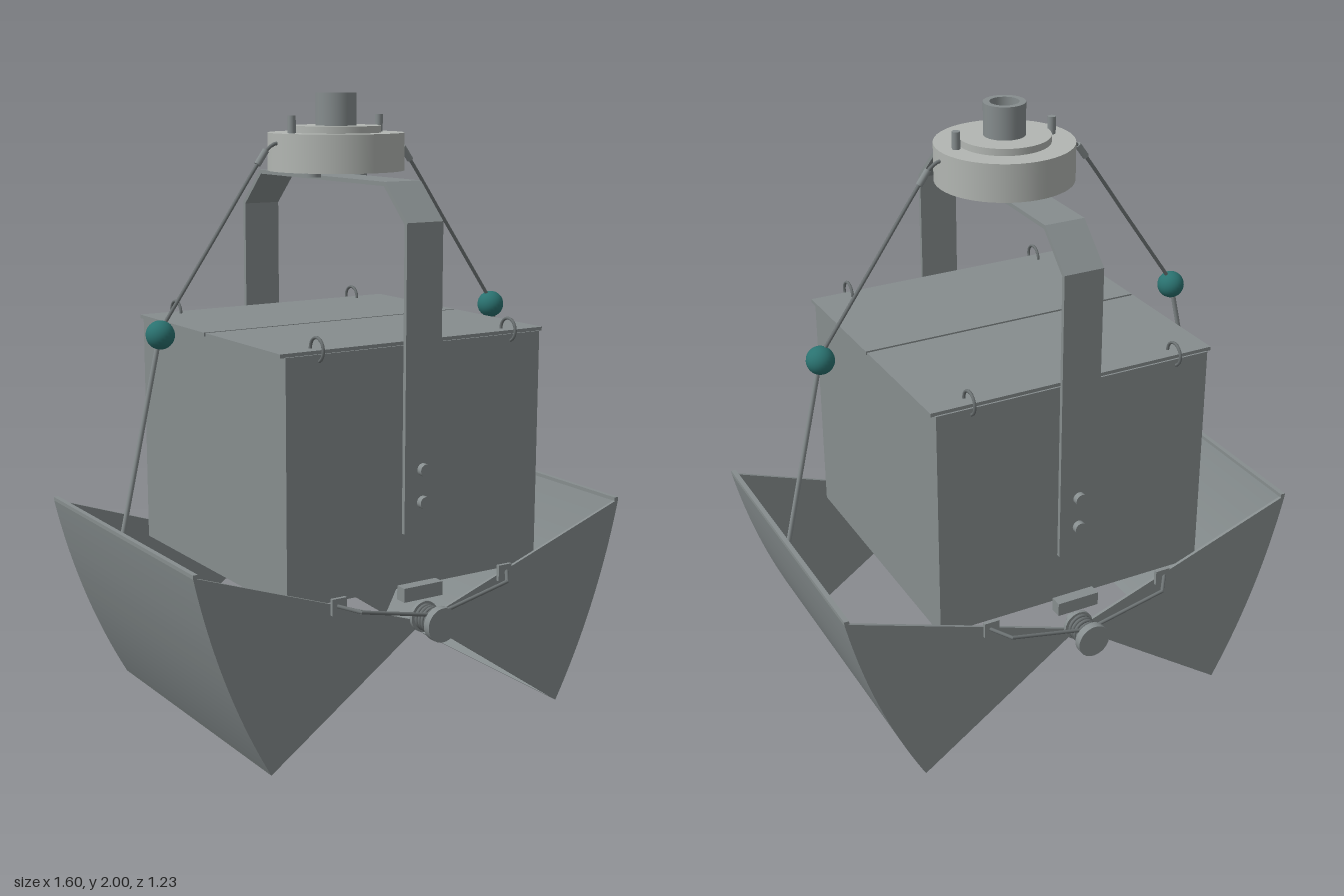
import * as THREE from 'three';

const mat = (name, color, side = THREE.FrontSide) => {
  const m = new THREE.MeshStandardMaterial({ color, side });
  m.name = name;
  return m;
};

export function createModel() {
  const steel = mat('grey steel', 0x868d8e);
  const wire = mat('dark wire', 0x6c7273);
  const light = mat('light metal', 0xb2b6b2);
  const teal = mat('teal ball', 0x2a7270);
  const model = new THREE.Group();
  model.name = 'grabSampler';

  const add = (parent, name, geo, material, x = 0, y = 0, z = 0) => {
    const mesh = new THREE.Mesh(geo, material);
    mesh.name = name;
    mesh.position.set(x, y, z);
    parent.add(mesh);
    return mesh;
  };
  const box = (w, h, d) => new THREE.BoxGeometry(w, h, d);
  const cyl = (r, h, n = 24) => new THREE.CylinderGeometry(r, r, h, n);
  const cylZ = (r, h, n = 24) => cyl(r, h, n).rotateX(Math.PI / 2);
  const extrude = (shape, depth) => new THREE.ExtrudeGeometry(shape, { depth, bevelEnabled: false, curveSegments: 24 })
    .translate(0, 0, -depth / 2);
  const poly = pts => new THREE.Shape(pts.map(p => new THREE.Vector2(...p)));
  const up = new THREE.Vector3(0, 1, 0);
  // round bars joining a list of points
  const bars = (parent, name, pts, r, material) => {
    for (let i = 1; i < pts.length; i++) {
      const a = new THREE.Vector3(...pts[i - 1]), b = new THREE.Vector3(...pts[i]);
      const dir = b.clone().sub(a);
      const bar = add(parent, name, cyl(r, dir.length() + r * 0.8, 10), material);
      bar.position.copy(a).add(b).multiplyScalar(0.5);
      bar.quaternion.setFromUnitVectors(up, dir.normalize());
    }
  };

  // sample box, open below
  const H = 0.47, T = 0.46;
  const walls = poly([[-H, -H], [H, -H], [H, H], [-H, H]]);
  walls.holes.push(poly([[-T, -T], [-T, T], [T, T], [T, -T]]));
  add(model, 'sampleBox', extrude(walls, 0.765).rotateX(Math.PI / 2), steel, 0, 0.8725);

  // two lid flaps with ring handles
  for (const s of [-1, 1]) {
    add(model, 'lidFlap', box(0.97, 0.012, 0.459), steel, 0, 1.26, s * 0.2345);
    for (const x of [-0.355, 0.355])
      add(model, 'lidRing', new THREE.TorusGeometry(0.036, 0.005, 8, 28).rotateY(Math.PI / 2), wire, x, 1.267, s * 0.455);
  }

  // bent strap frame over the box
  const t = 0.49, u = 0.483;
  const strap = poly([[t + 0.007, 0.67], [t + 0.007, 1.625], [0.378, 1.74], [-0.378, 1.74], [-t - 0.007, 1.625], [-t - 0.007, 0.67],
    [-u, 0.67], [-u, 1.619], [-0.372, 1.727], [0.372, 1.727], [u, 1.619], [u, 0.67]]);
  add(model, 'strapFrame', extrude(strap, 0.132).rotateY(-Math.PI / 2), steel);

  // head: disc, step and hollow neck
  const V = (x, y) => new THREE.Vector2(x, y);
  const ring = (pairs, n = 48) => {
    // each profile edge is lathed alone so that edges stay sharp
    const g = new THREE.Group();
    for (let i = 1; i < pairs.length; i++)
      add(g, 'neckFace', new THREE.LatheGeometry([V(...pairs[i - 1]), V(...pairs[i])], n), steel);
    return g;
  };
  add(model, 'headDisc', cyl(0.22, 0.12, 48), light, 0, 1.815);
  add(model, 'headStep', cyl(0.145, 0.022, 48), light, 0, 1.886);
  const neck = ring([[0.066, 1.89], [0.066, 2], [0.046, 2], [0.046, 1.9], [0, 1.9]]);
  neck.name = 'neck';
  model.add(neck);
  for (const s of [-1, 1]) {
    add(model, 'headPin', cyl(0.013, 0.06, 16), steel, s * 0.165, 1.9);
    add(model, 'headBoss', cyl(0.027, 0.022, 20), steel, s * 0.088, 1.746);
  }

  // one jaw with its lifting cable, then its half-turn copy
  const makeSide = () => {
    const g = new THREE.Group();
    g.name = 'jawAssembly';
    const plate = new THREE.Shape();
    plate.moveTo(0, 0.38);
    plate.lineTo(0.55, 0);
    plate.quadraticCurveTo(0.722, 0.305, 0.8, 0.66);
    plate.closePath();
    for (const z of [-0.502, 0.502]) add(g, 'jawSidePlate', extrude(plate, 0.01), steel, 0, 0, z);
    const band = new THREE.Shape();
    band.moveTo(0.55, 0);
    band.quadraticCurveTo(0.722, 0.305, 0.8, 0.66);
    band.lineTo(0.79, 0.66);
    band.quadraticCurveTo(0.712, 0.309, 0.542, 0.006);
    band.closePath();
    add(g, 'jawShell', extrude(band, 0.998), steel);
    add(g, 'jawRim', box(0.016, 0.012, 1.014), steel, 0.792, 0.662);
    bars(g, 'jawRod', [[0.64, 1.275, 0], [0.78, 0.665, 0]], 0.008, steel);
    add(g, 'cableBall', new THREE.SphereGeometry(0.045, 24, 16), teal, 0.638, 1.273);
    const path = new THREE.CatmullRomCurve3([[0.2, 1.845], [0.225, 1.844], [0.25, 1.83], [0.285, 1.788], [0.45, 1.553], [0.63, 1.297]]
      .map(p => new THREE.Vector3(p[0], p[1], 0)));
    add(g, 'cable', new THREE.TubeGeometry(path, 48, 0.006, 8), wire);
    bars(g, 'cableSleeve', [[0.262, 1.82, 0], [0.288, 1.784, 0]], 0.011, steel);
    return g;
  };
  const left = makeSide(), right = makeSide();
  right.rotation.y = Math.PI;
  model.add(left, right);

  // hinge, spring, wire arms and bolts on front and back
  const makeHinge = () => {
    const g = new THREE.Group();
    g.name = 'hinge';
    add(g, 'hingePlate', box(0.145, 0.045, 0.04), steel, 0, 0.478, 0.49);
    add(g, 'hingeShaft', cylZ(0.022, 0.13), steel, 0, 0.4, 0.535);
    add(g, 'hingeWasher', cylZ(0.05, 0.012), steel, 0, 0.4, 0.512);
    add(g, 'hingeCap', cylZ(0.055, 0.026, 32), steel, 0, 0.4, 0.602);
    const coil = [];
    for (let i = 0; i <= 64; i++) {
      const a = i / 64 * Math.PI * 8;
      coil.push(new THREE.Vector3(0.037 * Math.cos(a), 0.4 + 0.037 * Math.sin(a), 0.517 + 0.062 * i / 64));
    }
    add(g, 'spring', new THREE.TubeGeometry(new THREE.CatmullRomCurve3(coil), 128, 0.006, 6), wire);
    for (const s of [-1, 1]) {
      add(g, 'armBlock', box(0.052, 0.052, 0.012), steel, s * 0.315, 0.49, 0.512);
      bars(g, 'springArm', [[s * 0.32, 0.492, 0.518], [s * 0.275, 0.482, 0.577], [s * 0.035, 0.43, 0.577]], 0.006, wire);
    }
    for (const y of [0.765, 0.868]) add(g, 'frameBolt', cylZ(0.02, 0.05), steel, 0, y, 0.492);
    return g;
  };
  const front = makeHinge(), back = makeHinge();
  back.rotation.y = Math.PI;
  model.add(front, back);

  return model;
}
